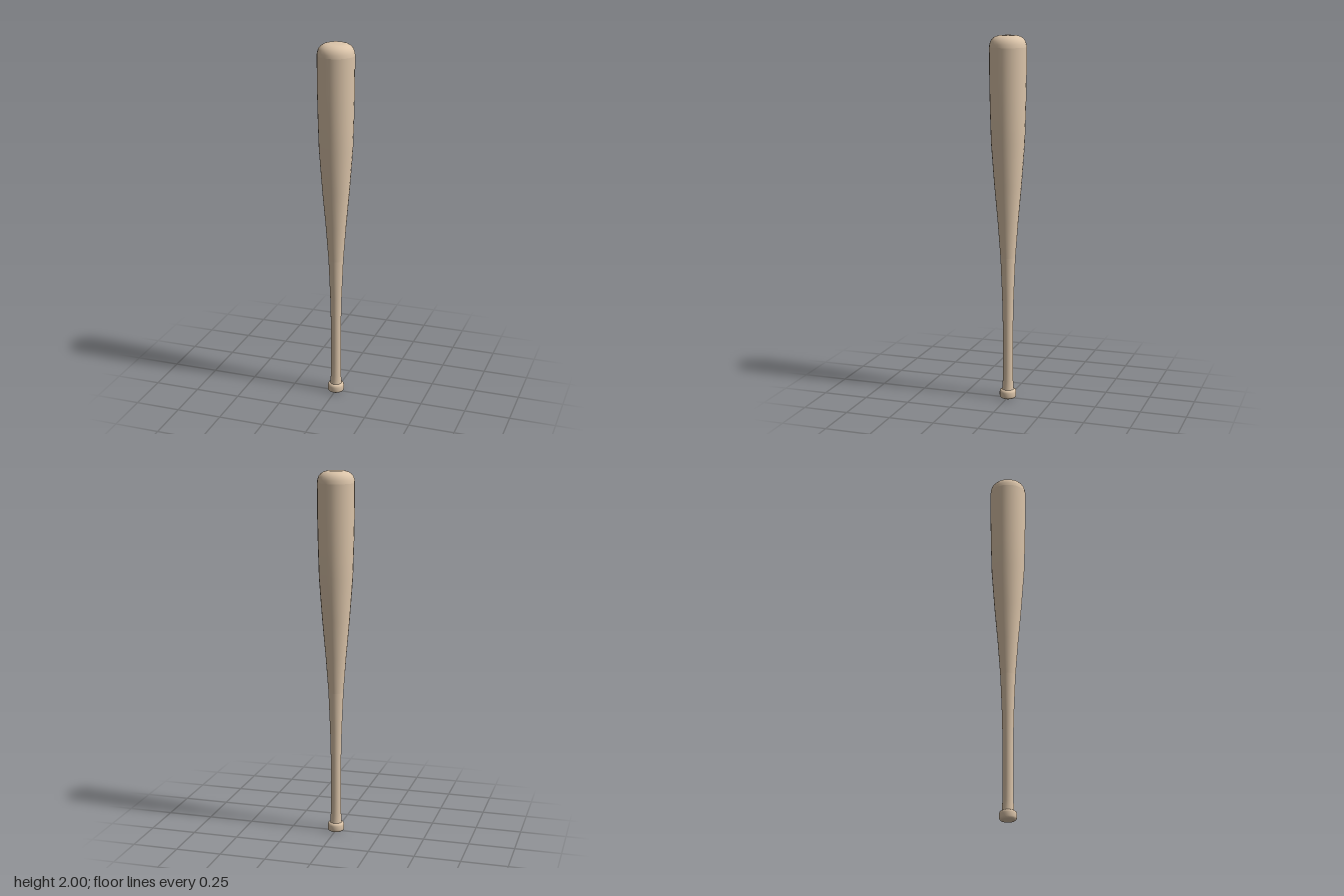
import * as THREE from 'three';

const SIDES = 24;

// Revolve a list of [radius, height] pairs into a smooth solid
function turned(name, profile, material) {
  const points = profile.map(([r, y]) => new THREE.Vector2(r, y));
  const mesh = new THREE.Mesh(new THREE.LatheGeometry(points, SIDES), material);
  mesh.name = name;
  return mesh;
}

export function createModel() {
  const wood = new THREE.MeshStandardMaterial({ color: 0xdcc5aa });
  wood.name = 'pale wood';

  const bat = new THREE.Group();
  bat.name = 'bat';

  // Rounded knob at the foot of the handle
  bat.add(turned('knob', [
    [0, 0], [0.036, 0.001], [0.043, 0.006], [0.046, 0.015], [0.046, 0.036],
    [0.043, 0.046], [0.037, 0.05], [0.028, 0.052],
  ], wood));

  // Thin handle, flared where it meets the knob
  bat.add(turned('handle', [
    [0.033, 0.048], [0.031, 0.065], [0.029, 0.1], [0.028, 0.18],
    [0.028, 0.4], [0.032, 0.58], [0.041, 0.8],
  ], wood));

  // Taper widening into the barrel
  bat.add(turned('barrel', [
    [0.041, 0.8], [0.056, 1.0], [0.074, 1.2], [0.091, 1.43],
    [0.096, 1.6], [0.099, 1.75], [0.1, 1.935],
  ], wood));

  // Domed end of the barrel
  bat.add(turned('barrelEnd', [
    [0.1, 1.935], [0.098, 1.952], [0.092, 1.969], [0.081, 1.983],
    [0.065, 1.993], [0.045, 1.998], [0, 2],
  ], wood));

  return bat;
}
